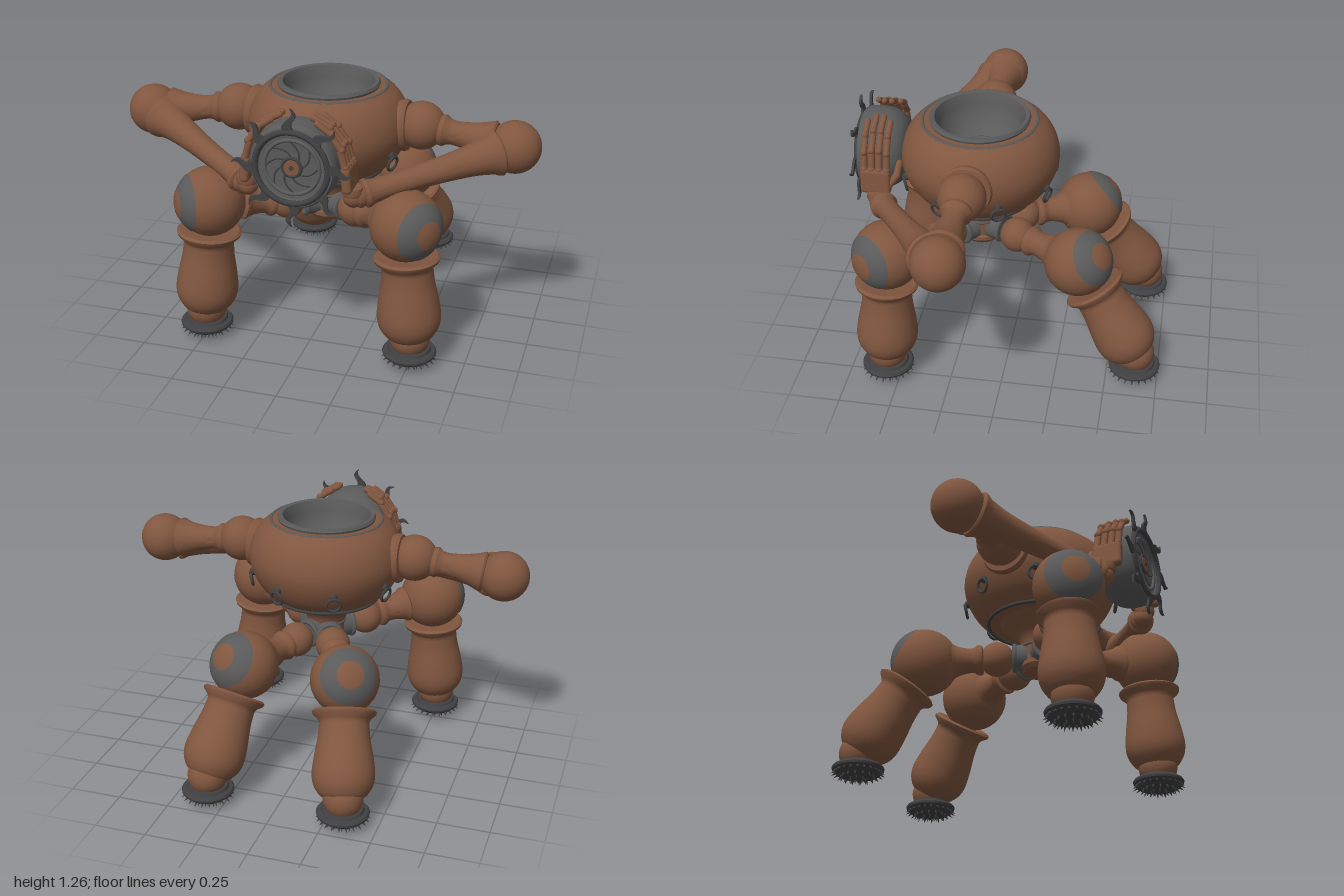
import * as THREE from 'three';
import { toCreasedNormals } from 'three/addons/utils/BufferGeometryUtils.js';
import { RoundedBoxGeometry } from 'three/addons/geometries/RoundedBoxGeometry.js';

const mat = (name, color) => {
  const m = new THREE.MeshStandardMaterial({ color });
  m.name = name;
  return m;
};
const V = (x, y, z) => new THREE.Vector3(x, y, z);
const UP = V(0, 1, 0);
const CZ = 0.175; // body axis

export function createModel() {
  const copper = mat('copper brown', 0x80563f);
  const steel = mat('steel grey', 0x5a5a5a);
  const iron = mat('dark iron', 0x414143);
  const model = new THREE.Group();

  const add = (name, geo, material, pos, dir = null) => {
    const m = new THREE.Mesh(geo, material);
    m.name = name;
    m.position.copy(pos);
    if (dir) m.quaternion.setFromUnitVectors(UP, dir.clone().normalize());
    model.add(m);
    return m;
  };
  // profile points are [radius, distance along the axis]
  const lathe = (pts, seg = 36) =>
    toCreasedNormals(new THREE.LatheGeometry(pts.map(p => new THREE.Vector2(p[0], p[1])), seg), 0.6);
  const smooth = (pts, n) =>
    new THREE.SplineCurve(pts.map(p => new THREE.Vector2(p[0], p[1]))).getPoints(n).map(p => [Math.max(0, p.x), p.y]);
  const ball = (name, r, pos, material = copper) => {
    const seg = r > 0.06 ? 32 : 12;
    add(name, new THREE.SphereGeometry(r, seg, seg * 0.625 | 0), material, pos);
  };
  const ring = (name, r, tube, pos, dir, material) => {
    const g = new THREE.TorusGeometry(r, tube, 8, 40).rotateX(Math.PI / 2);
    add(name, g, material, pos, dir);
  };

  // Body shell, waist and pelvis
  const axis = V(0, 0, CZ);
  add('bodyShell', lathe([
    ...smooth([[0.25, 0.79], [0.315, 0.84], [0.362, 0.92], [0.38, 1.0], [0.365, 1.08], [0.327, 1.145], [0.277, 1.187]], 28),
    [0.22, 1.187]], 64), copper, axis);
  add('waist', lathe([[0, 0.53], [0.085, 0.53], [0.1, 0.55], [0.1, 0.57], [0.092, 0.575],
    ...smooth([[0.095, 0.6], [0.1, 0.67], [0.125, 0.72], [0.18, 0.77], [0.2, 0.79]], 14), [0.26, 0.795]], 48), copper, axis);
  ring('bodyLowerRing', 0.258, 0.009, V(0, 0.79, CZ), UP, iron);
  ring('pelvisRing', 0.097, 0.007, V(0, 0.655, CZ), UP, steel);

  // Open bowl in the top
  ring('openingBand', 0.272, 0.008, V(0, 1.184, CZ), UP, steel);
  add('bowl', lathe([[0.235, 1.18], [0.241, 1.197], [0.234, 1.21], [0.215, 1.207],
    ...smooth([[0.203, 1.17], [0.188, 1.12], [0.15, 1.06], [0.1, 1.025]], 14), [0, 1.02]], 56), steel, axis);
  ring('bowlCentreRing', 0.093, 0.009, V(0, 1.027, CZ), UP, steel);
  add('bowlCentreDisc', new THREE.CylinderGeometry(0.085, 0.085, 0.008, 36), copper, V(0, 1.027, CZ));

  // Hanging rings around the body
  for (let i = 0; i < 8; i++) {
    const a = (i + 0.5) * Math.PI / 4;
    const at = (r, y) => V(Math.sin(a) * r, y, CZ + Math.cos(a) * r);
    ball('ringStud', 0.02, at(0.362, 0.92), iron);
    const t = add('hangingRing', new THREE.TorusGeometry(0.033, 0.007, 8, 24), iron, at(0.372, 0.882));
    t.rotation.set(0.2, a, 0, 'YXZ');
  }

  // Spiked foot with its plate on top
  const foot = (x, z) => {
    add('footPlate', lathe([[0, 0.018], [0.06, 0.022], [0.1, 0.036], [0.123, 0.056], [0.125, 0.066],
      [0.118, 0.076], [0.1, 0.078], [0.095, 0.09], [0, 0.092]]), iron, V(x, 0, z));
    [[22, 0.112, 0.043, 0.55], [14, 0.078, 0.026, 0.9], [7, 0.038, 0.02, 1]].forEach(([n, r, y, down]) => {
      for (let i = 0; i < n; i++) {
        const a = i / n * Math.PI * 2;
        const out = Math.sqrt(1 - down * down);
        const d = V(Math.cos(a) * out, -down, Math.sin(a) * out);
        add('footSpike', new THREE.ConeGeometry(0.009, 0.034, 6), iron,
          V(x + Math.cos(a) * r, y, z + Math.sin(a) * r).addScaledVector(d, 0.003), d);
      }
    });
  };

  const shinProfile = [[0.05, 0.15], [0.14, 0.142], [0.152, 0.152], [0.148, 0.165], [0.125, 0.185],
    ...smooth([[0.117, 0.2], [0.122, 0.27], [0.138, 0.36], [0.147, 0.44], [0.137, 0.495], [0.112, 0.535]], 18),
    [0.1, 0.545], [0, 0.545]];
  const thighProfile = [[0.05, 0.18], [0.071, 0.186], [0.075, 0.2], [0.072, 0.212], [0.062, 0.225],
    ...smooth([[0.06, 0.24], [0.063, 0.27], [0.075, 0.31], [0.088, 0.33]], 10), [0.09, 0.34], [0.05, 0.36]];

  const leg = (knee, ankle, capDir) => {
    const centre = V(0, 0.61, CZ);
    const flat = V(knee.x, 0.61, knee.z).sub(centre).normalize();
    const hip = centre.clone().addScaledVector(flat, 0.1);
    const thighDir = knee.clone().sub(hip).normalize();
    add('hipSocket', new THREE.CylinderGeometry(0.062, 0.07, 0.06, 32), steel, hip, flat);
    ring('hipSocketRing', 0.06, 0.012, hip.clone().addScaledVector(flat, 0.03), flat, steel);
    ball('hipBall', 0.085, hip.clone().addScaledVector(thighDir, 0.115));
    add('thigh', lathe(thighProfile), copper, hip, thighDir);
    ball('kneeBall', 0.164, knee);
    const cap = (name, r, angle, m) =>
      add(name, new THREE.SphereGeometry(r, 36, 10, 0, Math.PI * 2, 0, angle), m, knee, capDir);
    cap('kneeCap', 0.167, 0.92, steel);
    cap('kneeCapCentre', 0.17, 0.39, copper);
    add('shin', lathe(shinProfile, 40), copper, knee, ankle.clone().sub(knee));
    ball('ankleBall', 0.095, ankle);
    foot(ankle.x, ankle.z);
  };

  // Drum held in front, with a rayed face plate
  const hub = V(0, 0.99, 0);
  const zAxis = V(0, 0, 1);
  add('drum', lathe([...smooth([[0, 0.51], [0.08, 0.515], [0.145, 0.54], [0.185, 0.59], [0.198, 0.65], [0.195, 0.72]], 20),
    [0.185, 0.738], [0.16, 0.742], [0.15, 0.73], [0.125, 0.727], [0, 0.727]], 56), steel, hub, zAxis);
  ring('faceRing', 0.165, 0.014, V(0, 0.99, 0.742), zAxis, iron);
  ring('irisRing', 0.125, 0.009, V(0, 0.99, 0.73), zAxis, steel);
  ring('hubRing', 0.042, 0.008, V(0, 0.99, 0.73), zAxis, iron);
  add('hubDisc', new THREE.CylinderGeometry(0.035, 0.035, 0.008, 28), copper, V(0, 0.99, 0.734), zAxis);
  add('hubPin', new THREE.CylinderGeometry(0.011, 0.011, 0.008, 16), iron, V(0, 0.99, 0.738), zAxis);
  // wavy ray outline: one edge out, the other back
  const edge = side => Array.from({ length: 13 }, (_, i) => {
    const t = i / 12;
    return new THREE.Vector2(0.165 + 0.11 * t, 0.016 * Math.sin(t * 6.28) + side * 0.026 * (1 - t) ** 0.8);
  });
  const rayShape = new THREE.Shape([...edge(-1), ...edge(1).reverse().slice(1)]);
  const rayGeo = new THREE.ExtrudeGeometry(rayShape, { depth: 0.012, bevelEnabled: false });
  for (let i = 0; i < 8; i++) {
    const a = i * Math.PI / 4;
    add('faceRay', rayGeo, iron, V(0, 0.99, 0.739)).rotation.z = a;
    const bladeEdge = new THREE.CatmullRomCurve3([0, 1, 2, 3].map(k => {
      const r = 0.045 + k * 0.025, b = a + k * 0.28;
      return V(Math.cos(b) * r, Math.sin(b) * r, 0.728);
    }));
    add('irisBladeEdge', new THREE.TubeGeometry(bladeEdge, 10, 0.004, 5), iron, hub);
  }

  const upperArmProfile = [[0.05, 0.07], [0.07, 0.09], [0.074, 0.11], [0.06, 0.13],
    ...smooth([[0.056, 0.15], [0.06, 0.2], [0.075, 0.27], [0.092, 0.32]], 12), [0.098, 0.335], [0.09, 0.345], [0.04, 0.35]];
  const forearmProfile = [[0.04, 0.085], [0.1, 0.08], [0.108, 0.09], [0.104, 0.105],
    ...smooth([[0.092, 0.125], [0.072, 0.22], [0.058, 0.38], [0.052, 0.55], [0.053, 0.66], [0.06, 0.7]], 20),
    [0.066, 0.71], [0.064, 0.725], [0.052, 0.732], [0.058, 0.745], [0.056, 0.76], [0.04, 0.775], [0, 0.78]];

  const arm = s => {
    const shoulder = V(s * 0.445, 1.03, 0.18), elbow = V(s * 0.88, 0.98, 0.2), wrist = V(s * 0.245, 0.835, 0.62);
    add('shoulderCollar', lathe([[0.1, -0.07], [0.118, 0], [0.122, 0.015], [0.115, 0.03], [0.08, 0.035]]), copper,
      V(s * 0.355, 1.02, CZ), V(s, 0.05, 0));
    ball('shoulderBall', 0.112, shoulder);
    add('upperArm', lathe(upperArmProfile), copper, shoulder, elbow.clone().sub(shoulder));
    ball('elbowBall', 0.121, elbow);
    add('forearm', lathe(forearmProfile), copper, elbow, wrist.clone().sub(elbow));

    // Hand wrapped around the side of the drum
    ball('wristBall', 0.048, wrist);
    add('handCuff', lathe([[0, 0], [0.045, 0], [0.05, 0.015], [0.045, 0.04], [0, 0.045]], 24), copper, V(s * 0.245, 0.85, 0.63));
    const palm = add('palm', new RoundedBoxGeometry(0.045, 0.125, 0.145, 3, 0.018), copper, V(s * 0.232, 0.94, 0.637));
    palm.rotation.z = s * 0.08;
    const point = (deg, r, z) => V(s * r * Math.cos(deg * Math.PI / 180), 0.99 + r * Math.sin(deg * Math.PI / 180), z);
    const bone = (name, a, b, r) => {
      const d = b.clone().sub(a);
      add(name, new THREE.CapsuleGeometry(r, d.length(), 4, 12), copper, a.clone().add(b).multiplyScalar(0.5), d);
    };
    for (let f = 0; f < 4; f++) {
      const z = 0.583 + f * 0.036;
      const end = f === 0 || f === 3 ? 64 : 72;
      for (let k = 0; k < 3; k++) {
        const a0 = 2 + k * (end - 2) / 3, a1 = 2 + (k + 1) * (end - 2) / 3;
        bone('fingerBone', point(a0, 0.226, z), point(a1 - 2, 0.222, z), 0.0165 - k * 0.001);
        ball('knuckle', 0.0185 - k * 0.001, point(a0, 0.229, z));
      }
    }
    bone('thumbBone', V(s * 0.23, 0.92, 0.575), V(s * 0.215, 0.965, 0.54), 0.018);
    bone('thumbTip', V(s * 0.215, 0.965, 0.54), V(s * 0.17, 1.01, 0.533), 0.016);
  };

  // Mirrored limbs
  for (const s of [1, -1]) {
    leg(V(s * 0.465, 0.69, 0.54), V(s * 0.5, 0.14, 0.562), V(s * 0.8, 0.05, 0.6));
    leg(V(s * 0.25, 0.59, -0.335), V(s * 0.335, 0.14, -0.635), V(s * 0.38, 0.56, -0.73));
    arm(s);
  }
  return model;
}
